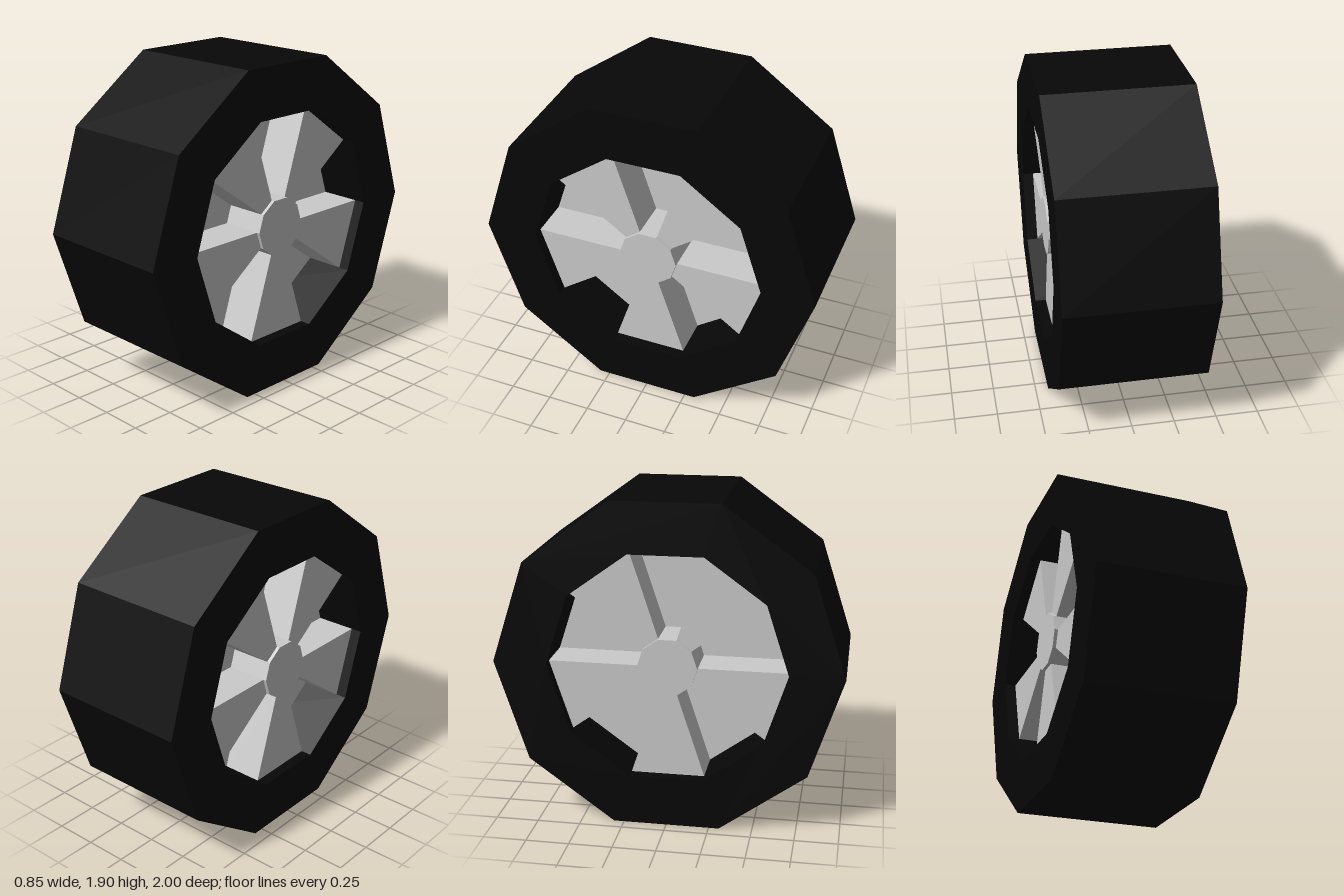
import * as THREE from 'three';

const SIDES = 10, STEP = Math.PI * 2 / SIDES;
const R_TIRE = 1, R_RIM = 0.69, R_HUB = 0.172;
const X_WEB = 0.12, X_SPOKE = 0.36, X_HUB = 0.38, X_TIRE = 0.425;
const CENTER_Y = R_TIRE * Math.sin(2 * STEP);

// corner k of a decagon; corner 0 points to +z once the part is turned onto the x axis
const corner = (r, k) => new THREE.Vector2(-r * Math.cos(k * STEP), r * Math.sin(k * STEP));
const decagon = r => Array.from({ length: SIDES }, (_, k) => corner(r, k));

// flat outline extruded along x from x0 to x1; a hole runs opposite to the outline
function prism(name, points, x0, x1, material, hole) {
  const shape = new THREE.Shape(points);
  if (hole) shape.holes.push(new THREE.Path(hole.reverse()));
  const geometry = new THREE.ExtrudeGeometry(shape, { depth: x1 - x0, bevelEnabled: false, steps: 1 });
  geometry.translate(0, 0, x0).rotateY(Math.PI / 2);
  const mesh = new THREE.Mesh(geometry, material);
  mesh.name = name;
  return mesh;
}

export function createModel() {
  const rubber = new THREE.MeshStandardMaterial({ color: 0x070707, flatShading: true, side: THREE.DoubleSide });
  const metal = new THREE.MeshStandardMaterial({ color: 0xcccccc, flatShading: true });
  const wheel = new THREE.Group();
  wheel.name = 'wheel';

  // tire ring, central web and hub
  wheel.add(
    prism('tire', decagon(R_TIRE), -X_TIRE, X_TIRE, rubber, decagon(R_RIM)),
    prism('rimWeb', decagon(R_RIM), -X_WEB, X_WEB, metal),
    prism('hub', decagon(R_HUB), -X_HUB, X_HUB, metal)
  );

  // five raised wedge spokes on each face, in every other sector
  const spokes = new THREE.Group();
  spokes.name = 'spokes';
  for (let k = 1; k < SIDES; k += 2) {
    const wedge = [corner(R_HUB, k), corner(R_RIM, k), corner(R_RIM, k + 1), corner(R_HUB, k + 1)];
    spokes.add(
      prism('leftSpoke', wedge, X_WEB, X_SPOKE, metal),
      prism('rightSpoke', wedge, -X_SPOKE, -X_WEB, metal)
    );
  }
  wheel.add(spokes);

  wheel.position.y = CENTER_Y;
  const model = new THREE.Group();
  model.name = 'wheelModel';
  model.add(wheel);
  return model;
}
